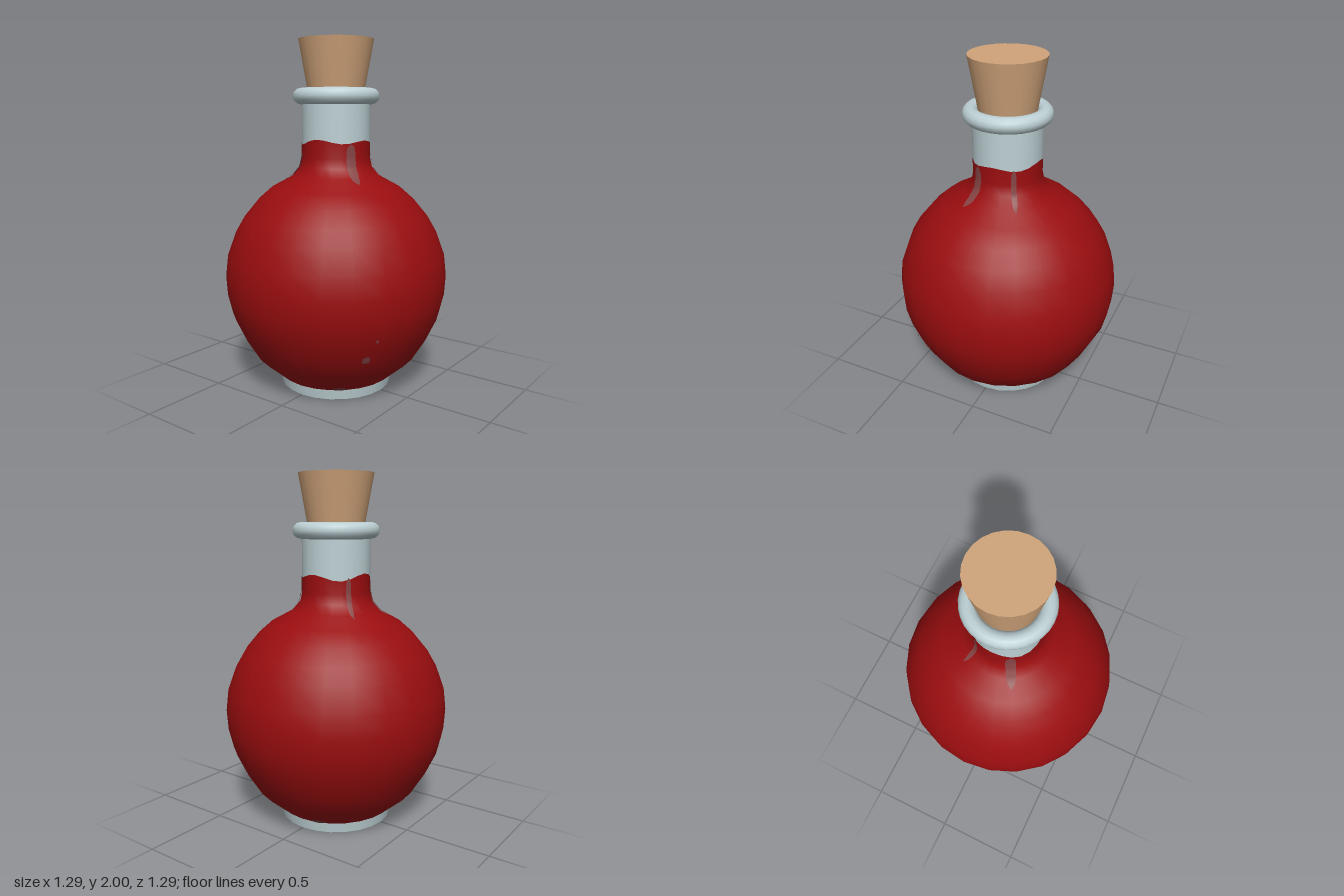
import * as THREE from 'three';

const mat = (name, color, side = THREE.FrontSide) => {
  const m = new THREE.MeshStandardMaterial({ color, side });
  m.name = name;
  return m;
};

const SEGMENTS = 24;
// Bulb and neck outline, bottom to top: [radius, height]
const outline = [
  [0.333, 0.058], [0.47, 0.175], [0.548, 0.3], [0.61, 0.43], [0.637, 0.54], [0.645, 0.655],
  [0.631, 0.78], [0.582, 0.915], [0.53, 1.005], [0.455, 1.095], [0.375, 1.165],
  [0.254, 1.23], [0.208, 1.285], [0.196, 1.34], [0.196, 1.43],
];

// Radius of the outline at a given height
function radiusAt(y) {
  for (let i = 1; i < outline.length; i++) {
    const [r0, y0] = outline[i - 1], [r1, y1] = outline[i];
    if (y <= y1) return r0 + (r1 - r0) * Math.max(0, (y - y0) / (y1 - y0));
  }
  return 0.196;
}

const lathe = (points) =>
  new THREE.LatheGeometry(points.map(([r, y]) => new THREE.Vector2(r, y)), SEGMENTS);

// Make one row of a lathe follow the wavy fill line
function waveRow(geometry, rowHeight) {
  const p = geometry.attributes.position;
  for (let i = 0; i < p.count; i++) {
    if (Math.abs(p.getY(i) - rowHeight) > 1e-4) continue;
    const a = Math.atan2(p.getX(i), p.getZ(i));
    p.setY(i, rowHeight + 0.014 * Math.cos(4 * a) + 0.006 * Math.sin(3 * a));
  }
  return geometry;
}

// Thin smear that hugs the outline, with rounded ends
function smear(degrees, yLow, yHigh, width) {
  const g = new THREE.PlaneGeometry(1, 1, 4, 14);
  const p = g.attributes.position;
  for (let i = 0; i < p.count; i++) {
    const t = p.getY(i) + 0.5;
    const y = yLow + (yHigh - yLow) * t;
    const r = radiusAt(y) + 0.005;
    const w = width * Math.sqrt(1 - Math.abs(2 * t - 1) ** 4) + 0.002;
    const a = THREE.MathUtils.degToRad(degrees) + (p.getX(i) * w) / r;
    p.setXYZ(i, r * Math.sin(a), y, r * Math.cos(a));
  }
  g.computeVertexNormals();
  return g;
}

export function createModel() {
  const group = new THREE.Group();
  group.name = 'potionBottle';
  const red = mat('redLiquid', 0x9a0d0f);
  const glass = mat('paleGlass', 0xbdd0d4);
  const corkMat = mat('cork', 0xd0a47a);
  const film = mat('liquidFilm', 0x864444, THREE.DoubleSide);

  const add = (name, geometry, material) => {
    const mesh = new THREE.Mesh(geometry, material);
    mesh.name = name;
    group.add(mesh);
    return mesh;
  };

  // Filled bulb and lower neck
  add('liquidBulb', waveRow(lathe(outline), 1.43), red);

  // Clear upper neck
  add('glassNeck', waveRow(lathe([[0.196, 1.43], [0.196, 1.56], [0.196, 1.7]]), 1.43), glass);

  // Rolled lip
  const lip = add('lip', new THREE.TorusGeometry(0.202, 0.046, 12, 32), glass);
  lip.rotation.x = Math.PI / 2;
  lip.position.y = 1.684;

  // Foot
  const foot = add('foot', new THREE.CylinderGeometry(0.334, 0.324, 0.06, SEGMENTS), glass);
  foot.position.y = 0.03;

  // Tapered stopper
  const stopper = add('stopper', new THREE.CylinderGeometry(0.214, 0.15, 0.36, SEGMENTS), corkMat);
  stopper.position.y = 1.82;

  // Drips on the shoulder: [degrees, low, high, width]
  const drips = [
    [61, 1.205, 1.42, 0.055], [-61, 1.205, 1.42, 0.055],
    [124, 1.215, 1.43, 0.028], [-124, 1.215, 1.43, 0.028],
  ];
  drips.forEach((d) => add('drip', smear(...d), film));

  // Small smudges low on the bulb and above the foot
  const smudges = [
    [53, 0.29, 0.335, 0.04], [-53, 0.3, 0.325, 0.02], [57, 0.42, 0.44, 0.015],
    [40, 0.06, 0.09, 0.07], [-36, 0.06, 0.085, 0.06], [200, 0.06, 0.095, 0.08],
  ];
  smudges.forEach((s) => add('smudge', smear(...s), film));

  return group;
}
